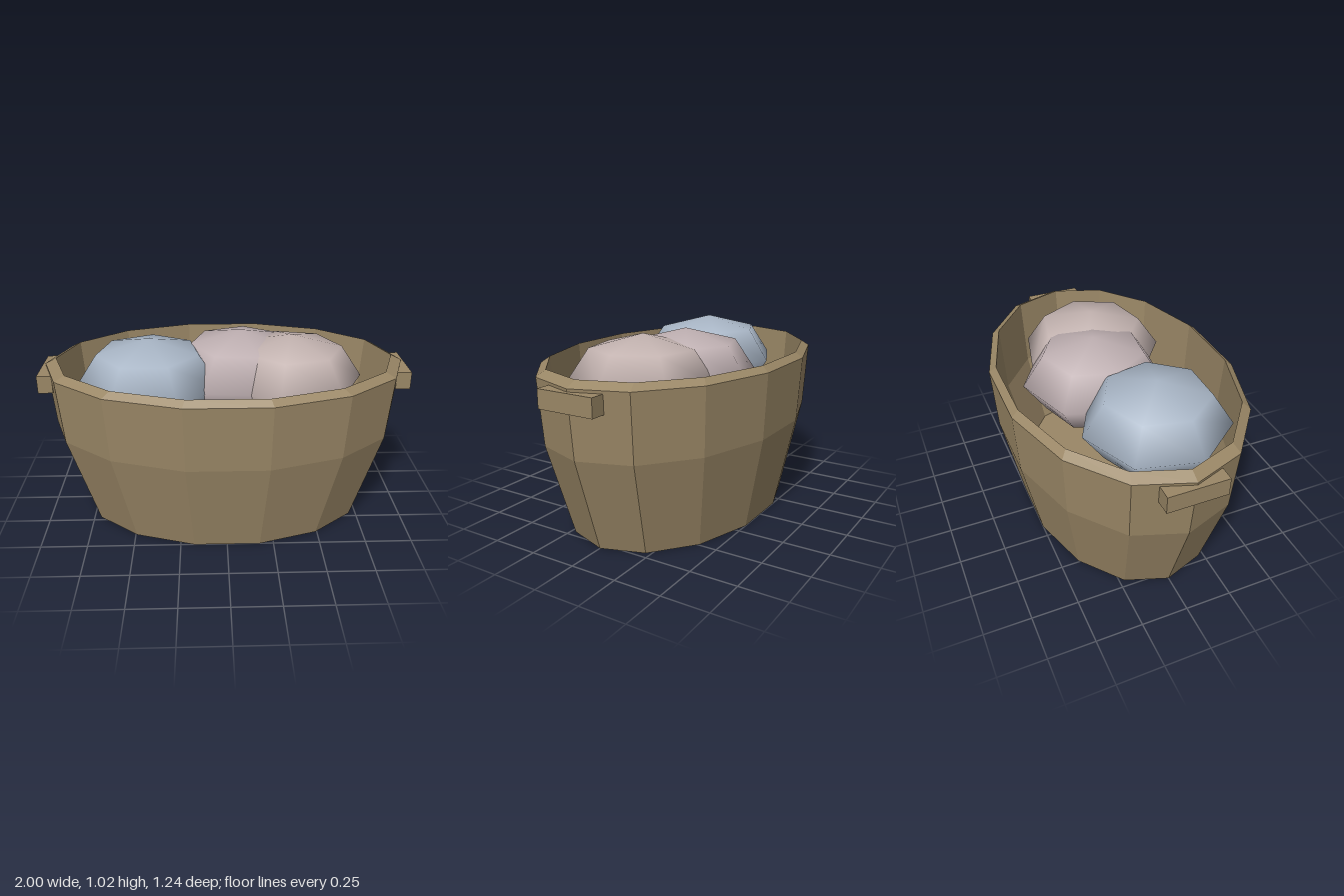
import * as THREE from 'three';

const WOOD = 0x9a8766;

export function createModel() {
  const group = new THREE.Group();
  group.name = 'basketOfBalls';
  const wood = new THREE.MeshStandardMaterial({ color: WOOD, flatShading: true, side: THREE.DoubleSide });

  const add = (name, geometry, material) => {
    const mesh = new THREE.Mesh(geometry, material);
    mesh.name = name;
    group.add(mesh);
    return mesh;
  };

  // Oval fourteen-sided tub: recessed underside, outer wall, chamfered rim, inner wall, floor
  const profile = [
    [0, 0.12], [0.73, 0.12], [0.79, 0], [0.95, 0.51], [0.98, 0.86],
    [0.92, 0.89], [0.89, 0.51], [0.73, 0.13], [0, 0.13],
  ].map(([r, y]) => new THREE.Vector2(r, y));
  const tub = new THREE.LatheGeometry(profile, 14, Math.PI / 2);
  tub.scale(1, 1, 0.65);
  add('basket', tub, wood);

  // Block handles at both ends
  for (const [name, side] of [['leftHandle', 1], ['rightHandle', -1]]) {
    add(name, new THREE.BoxGeometry(0.08, 0.096, 0.316), wood).position.set(side * 0.96, 0.797, 0);
  }

  // Squashed, smooth low-poly balls: centre x, z, heading of one corner in degrees
  const balls = [
    ['blueBall', -0.41, 0.07, 14, 0xa9b6c6],
    ['middleBall', 0.09, -0.07, 19, 0xbfb0b2],
    ['endBall', 0.36, 0.02, 0, 0xc3b3b0],
  ];
  for (const [name, x, z, heading, color] of balls) {
    const ball = new THREE.SphereGeometry(1, 7, 4, Math.PI - THREE.MathUtils.degToRad(heading));
    ball.scale(0.395, 0.24, 0.395);
    add(name, ball, new THREE.MeshStandardMaterial({ color })).position.set(x, 0.78, z);
  }

  return group;
}
